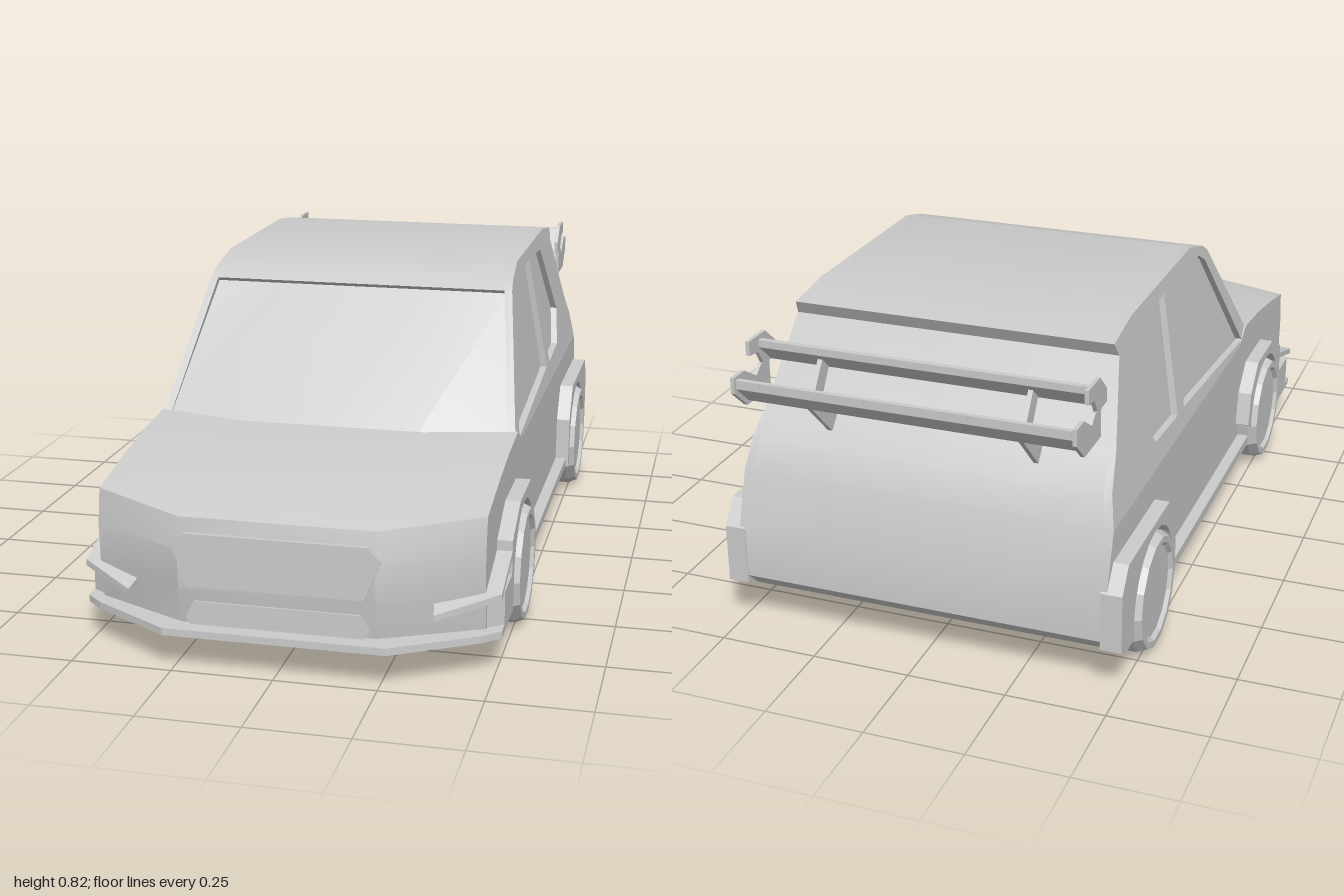
import * as THREE from 'three';
import { toCreasedNormals } from 'three/addons/utils/BufferGeometryUtils.js';

const material = new THREE.MeshStandardMaterial({ color: 0xcccccc, side: THREE.DoubleSide });
const points = (list) => list.map(([a, b]) => new THREE.Vector2(a, b));

// Side outline (z, y) extruded across x from x0 to x1
function slab(outline, x0, x1, holes = [], steps = 1) {
  const shape = new THREE.Shape(points(outline));
  holes.forEach((h) => shape.holes.push(new THREE.Path(points(h))));
  const geo = new THREE.ExtrudeGeometry(shape, { depth: x1 - x0, steps, bevelEnabled: false });
  return geo.rotateY(-Math.PI / 2).translate(x1, 0, 0);
}

// Plan outline (x, z) extruded downward from y
function plate(outline, y, thickness) {
  const geo = new THREE.ExtrudeGeometry(new THREE.Shape(points(outline)), { depth: thickness, bevelEnabled: false });
  return geo.rotateX(Math.PI / 2).translate(0, y, 0);
}

// Move every vertex by a rule, then rebuild the normals
function deform(geo, rule) {
  const p = geo.attributes.position;
  const v = new THREE.Vector3();
  for (let i = 0; i < p.count; i++) {
    rule(v.fromBufferAttribute(p, i));
    p.setXYZ(i, v.x, v.y, v.z);
  }
  return toCreasedNormals(geo, 0.45);
}

const AXLES = { front: 0.495, rear: -0.665 };
const HUB_Y = 0.153;
const FLOOR = 0.11;

// Wheel opening, from its rear foot over the top to its front foot
function arch(zc, r) {
  const dip = Math.asin((HUB_Y - FLOOR) / r);
  return Array.from({ length: 13 }, (_, i) => {
    const a = Math.PI + dip - (i / 12) * (Math.PI + 2 * dip);
    return [zc + r * Math.cos(a), HUB_Y + r * Math.sin(a)];
  });
}

// 0 over the middle half of the width, 1 at the sides
const corner = (x) => Math.max(0, (Math.abs(x) - 0.2375) / 0.2375);
const lean = (y) => 0.171 * Math.max(0, y - 0.42);

export function createModel() {
  const car = new THREE.Group();
  car.name = 'car';
  const add = (name, geo) => {
    const mesh = new THREE.Mesh(geo, material);
    mesh.name = name;
    car.add(mesh);
    return mesh;
  };
  const addPair = (name, outline, x0, x1, holes, rule) => {
    for (const s of [1, -1]) {
      let geo = s > 0 ? slab(outline, x0, x1, holes) : slab(outline, -x1, -x0, holes);
      if (rule) geo = deform(geo, rule);
      add(`${name}${s > 0 ? 'Left' : 'Right'}`, geo);
    }
  };

  // Lower body with bonnet, nose corners swept back
  const lower = [
    [0.95, FLOOR], [0.965, 0.2], [0.97, 0.3], [0.955, 0.375], [0.8, 0.42], [0.6, 0.445],
    [0.43, 0.458], [0.36, 0.42], [-0.88, 0.42], [-0.925, 0.28], [-0.925, 0.15], [-0.885, FLOOR],
    ...arch(AXLES.rear, 0.17), ...arch(AXLES.front, 0.17),
  ];
  add('lowerBody', deform(slab(lower, -0.475, 0.475, [], 4), (v) => {
    let pull = 0;
    if (v.z > 0.7) pull = 0.115;
    else if (v.z > 0.35 && v.y > 0.4) pull = 0.06 + Math.max(0, v.z - 0.43) * 0.1;
    v.z -= pull * corner(v.x);
    if (v.y > 0.37 && v.z > 0.7) v.y += 0.015 * corner(v.x);
  }));

  // Inner floor between the wheels
  for (const [end, z] of Object.entries(AXLES)) {
    const box = new THREE.BoxGeometry(0.8, 0.28, 0.37);
    add(`${end}InnerWell`, box.translate(0, FLOOR + 0.14, z));
  }

  // Cabin core carrying windscreen, roof and tailgate
  const rearEdge = [
    [-0.03, 0.82], [-0.55, 0.82], [-0.69, 0.8], [-0.67, 0.765], [-0.79, 0.57], [-0.853, 0.5], [-0.88, 0.42],
  ];
  const cabin = [[0.44, 0.42], [0.43, 0.452], [0.1, 0.757], [0.118, 0.768], [0.08, 0.79], ...rearEdge];
  add('cabin', deform(slab(cabin, -0.457, 0.457, [], 4), (v) => {
    if (v.z > 0.3) v.z -= 0.06 * corner(v.x);
    v.x *= 1 - lean(v.y) / 0.475;
  }));

  // Cabin sides with recessed windows
  const side = [[0.4, 0.42], [0.375, 0.458], [0.118, 0.768], [0.08, 0.79], ...rearEdge];
  const frontWindow = [[0.33, 0.43], [0.085, 0.75], [0.04, 0.775], [-0.03, 0.785], [-0.23, 0.785], [-0.262, 0.47]];
  const rearWindow = [[-0.322, 0.47], [-0.29, 0.785], [-0.45, 0.775], [-0.595, 0.57], [-0.57, 0.54], [-0.51, 0.48]];
  addPair('cabinSide', side, 0.455, 0.475, [frontWindow, rearWindow], (v) => {
    v.x -= Math.sign(v.x) * lean(v.y);
  });

  // Angular wheel-arch flares
  const frontFlare = [[0.69, FLOOR], [0.69, 0.28], [0.57, 0.34], [0.39, 0.34], [0.315, 0.27], [0.295, 0.18],
    [0.325, 0.175], ...arch(AXLES.front, 0.165).slice(1)];
  const rearFlare = [[-0.475, FLOOR], [-0.48, 0.25], [-0.545, 0.34], [-0.88, 0.34], [-0.927, 0.28],
    [-0.927, 0.13], [-0.895, FLOOR], ...arch(AXLES.rear, 0.165)];
  addPair('frontFlare', frontFlare, 0.46, 0.513);
  addPair('rearFlare', rearFlare, 0.46, 0.513);

  // Front splitter, sills and bumper corners
  add('frontSplitter', plate([
    [-0.513, 0.66], [0.513, 0.66], [0.513, 0.84], [0.47, 0.88], [0.27, 1], [-0.27, 1], [-0.47, 0.88], [-0.513, 0.84],
  ], 0.11, 0.018));
  addPair('sill', [[0.33, 0.105], [0.33, 0.13], [-0.495, 0.13], [-0.495, 0.105]], 0.46, 0.505);
  for (const s of [1, -1]) {
    const label = s > 0 ? 'Left' : 'Right';
    const mirror = (list) => list.map(([x, z]) => [x * s, z]);
    add(`bumperCorner${label}`, plate(mirror([[0.44, 0.66], [0.513, 0.66], [0.513, 0.8], [0.44, 0.85]]), 0.195, 0.09));
    // Canard rising towards the wheel
    const canard = plate(mirror([
      [0.45, 0.67], [0.513, 0.67], [0.513, 0.85], [0.37, 0.945], [0.36, 0.89], [0.45, 0.83],
    ]), 0, 0.016);
    add(`canard${label}`, deform(canard, (v) => { v.y += 0.178 + (0.945 - v.z) * 0.3; }));
  }

  // Grille and lower intake panels
  const panel = (name, outline, z) => {
    const geo = new THREE.ExtrudeGeometry(new THREE.Shape(points(outline)), { depth: 0.02, bevelEnabled: false });
    add(name, geo.translate(0, 0, z));
  };
  panel('grille', [[-0.213, 0.21], [0.213, 0.21], [0.252, 0.31], [0.22, 0.34], [-0.22, 0.34], [-0.252, 0.31]], 0.953);
  panel('lowerIntake', [[-0.21, 0.112], [0.21, 0.112], [0.222, 0.13], [0.2, 0.17], [-0.2, 0.17], [-0.222, 0.13]], 0.945);

  // Two-element rear wing with struts and end plates
  add('upperWing', slab([[-0.8, 0.7], [-0.82, 0.7], [-0.875, 0.75], [-0.875, 0.768], [-0.86, 0.768]], -0.42, 0.42));
  add('lowerWing', slab([[-0.89, 0.645], [-0.94, 0.64], [-0.993, 0.69], [-0.993, 0.712], [-0.98, 0.712], [-0.935, 0.662]], -0.42, 0.42));
  addPair('wingStrut', [
    [-0.78, 0.56], [-0.82, 0.53], [-0.94, 0.65], [-0.9, 0.67], [-0.85, 0.74], [-0.82, 0.71], [-0.865, 0.64],
  ], 0.259, 0.271);
  addPair('upperEndPlate', [
    [-0.79, 0.7], [-0.79, 0.735], [-0.84, 0.78], [-0.92, 0.78], [-0.92, 0.745], [-0.88, 0.74], [-0.855, 0.7],
  ], 0.415, 0.425);
  addPair('lowerEndPlate', [
    [-0.83, 0.63], [-0.83, 0.7], [-0.87, 0.705], [-0.895, 0.685], [-0.95, 0.72], [-1, 0.72], [-1, 0.68], [-0.945, 0.63],
  ], 0.415, 0.425);

  // Faceted wheels with dished faces
  const tyre = points([
    [0, -0.02], [0.1, -0.02], [0.11, -0.055], [0.143, -0.055], [HUB_Y, -0.043], [HUB_Y, 0.03],
    [0.142, 0.055], [0.125, 0.055], [0.117, 0.045], [0, 0.045],
  ]);
  for (const [end, z] of Object.entries(AXLES)) {
    for (const s of [1, -1]) {
      const geo = toCreasedNormals(new THREE.LatheGeometry(tyre, 14), 0.3);
      const wheel = add(`${end}Wheel${s > 0 ? 'Left' : 'Right'}`, geo);
      wheel.rotation.z = -s * Math.PI / 2;
      wheel.position.set(s * 0.47, HUB_Y, z);
    }
  }
  return car;
}
